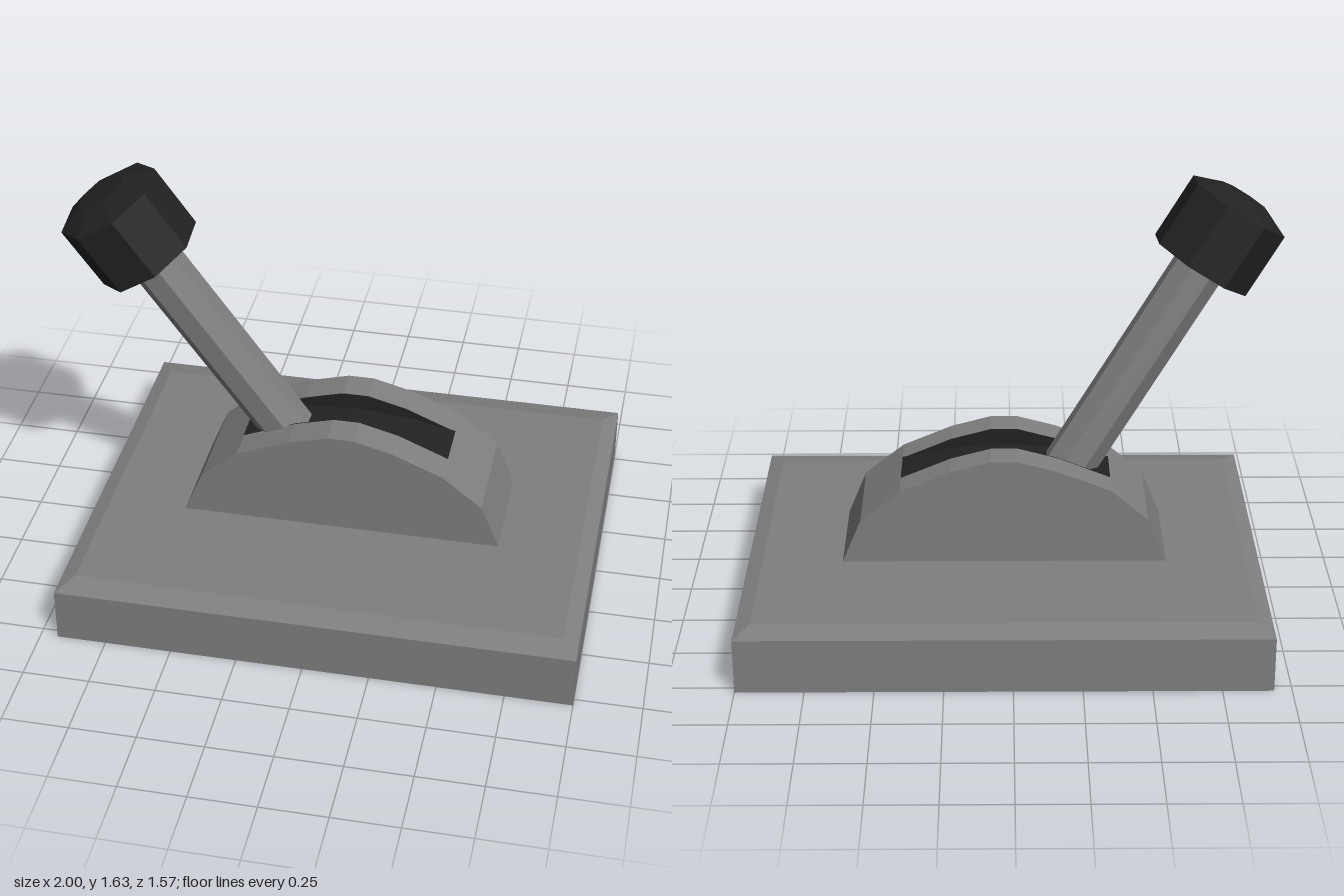
import * as THREE from 'three';

const flat = (name, color) => {
  const m = new THREE.MeshStandardMaterial({ color, flatShading: true });
  m.name = name;
  return m;
};

export function createModel() {
  const grey = flat('greyMetal', 0x7f7f7f);
  const black = flat('blackRubber', 0x222222);
  const group = new THREE.Group();
  group.name = 'leverSwitch';

  const add = (name, geometry, material, parent = group) => {
    const mesh = new THREE.Mesh(geometry, material);
    mesh.name = name;
    parent.add(mesh);
    return mesh;
  };

  // Extrude an x/y outline from z0 to z1
  const slab = (points, z0, z1) => {
    const shape = new THREE.Shape(points.map(([x, y]) => new THREE.Vector2(x, y)));
    return new THREE.ExtrudeGeometry(shape, { depth: z1 - z0, bevelEnabled: false }).translate(0, 0, z0);
  };

  // Base plate with a shallow chamfer round the top
  const base = new THREE.BoxGeometry(1.935, 0.23, 1.565, 1, 2, 1);
  const pos = base.attributes.position;
  for (let i = 0; i < pos.count; i++) {
    const y = pos.getY(i);
    if (y > 0.1) {
      pos.setX(i, pos.getX(i) - Math.sign(pos.getX(i)) * 0.057);
      pos.setZ(i, pos.getZ(i) - Math.sign(pos.getZ(i)) * 0.092);
    } else if (y > -0.1) pos.setY(i, 0.095);
  }
  base.computeVertexNormals();
  add('basePlate', base.translate(0.0325, 0.115, 0), grey);

  // Arched housing: two cheeks and a lowered core leave a slot between them
  const leftEnd = [[-0.58, 0.23], [-0.51, 0.4]];
  const rightEnd = [[0.57, 0.4], [0.64, 0.23]];
  const crown = [[-0.37, 0.52], [-0.17, 0.6], [-0.02, 0.64], [0.08, 0.64], [0.23, 0.6], [0.42, 0.52]];
  const floor = [[-0.37, 0.52], [-0.17, 0.56], [0.03, 0.577], [0.23, 0.56], [0.42, 0.52]];
  const arch = [...leftEnd, ...crown, ...rightEnd];
  add('housingCheekFront', slab(arch, 0.09, 0.213), grey);
  add('housingCheekBack', slab(arch, -0.213, -0.09), grey);
  add('housingCore', slab([...leftEnd, ...floor, ...rightEnd], -0.09, 0.09), grey);

  // Dark lining on the slot floor and walls
  const lining = floor.map(([x, y]) => [x, y + 0.004]);
  add('slotFloor', slab([...floor, ...lining.reverse()], -0.09, 0.09), black);
  const wall = [...crown, ...floor.slice(1, -1).reverse()];
  add('slotWallFront', slab(wall, 0.086, 0.09), black);
  add('slotWallBack', slab(wall, -0.09, -0.086), black);

  // Lever tilted to one side and slightly forward, built upright then turned
  const foot = new THREE.Vector3(-0.185, 0.48, 0);
  const knobBase = new THREE.Vector3(-0.7, 1.3, 0.103);
  const axis = knobBase.clone().sub(foot);
  const length = axis.length();
  const lever = new THREE.Group();
  lever.name = 'lever';
  lever.position.copy(foot);
  lever.quaternion.setFromUnitVectors(new THREE.Vector3(0, 1, 0), axis.normalize());
  group.add(lever);

  const shaft = new THREE.CylinderGeometry(0.1, 0.1, length + 0.02, 8);
  add('leverShaft', shaft.rotateY(Math.PI / 8).translate(0, length / 2, 0), grey, lever);

  // Eight-sided knob with a low faceted dome
  const profile = [[0, 0], [0.206, 0], [0.206, 0.262], [0.1, 0.305], [0, 0.312]];
  const knob = new THREE.LatheGeometry(profile.map(([r, y]) => new THREE.Vector2(r, y)), 8);
  add('leverKnob', knob.rotateY(Math.PI / 8).translate(0, length, 0), black, lever);

  return group;
}
